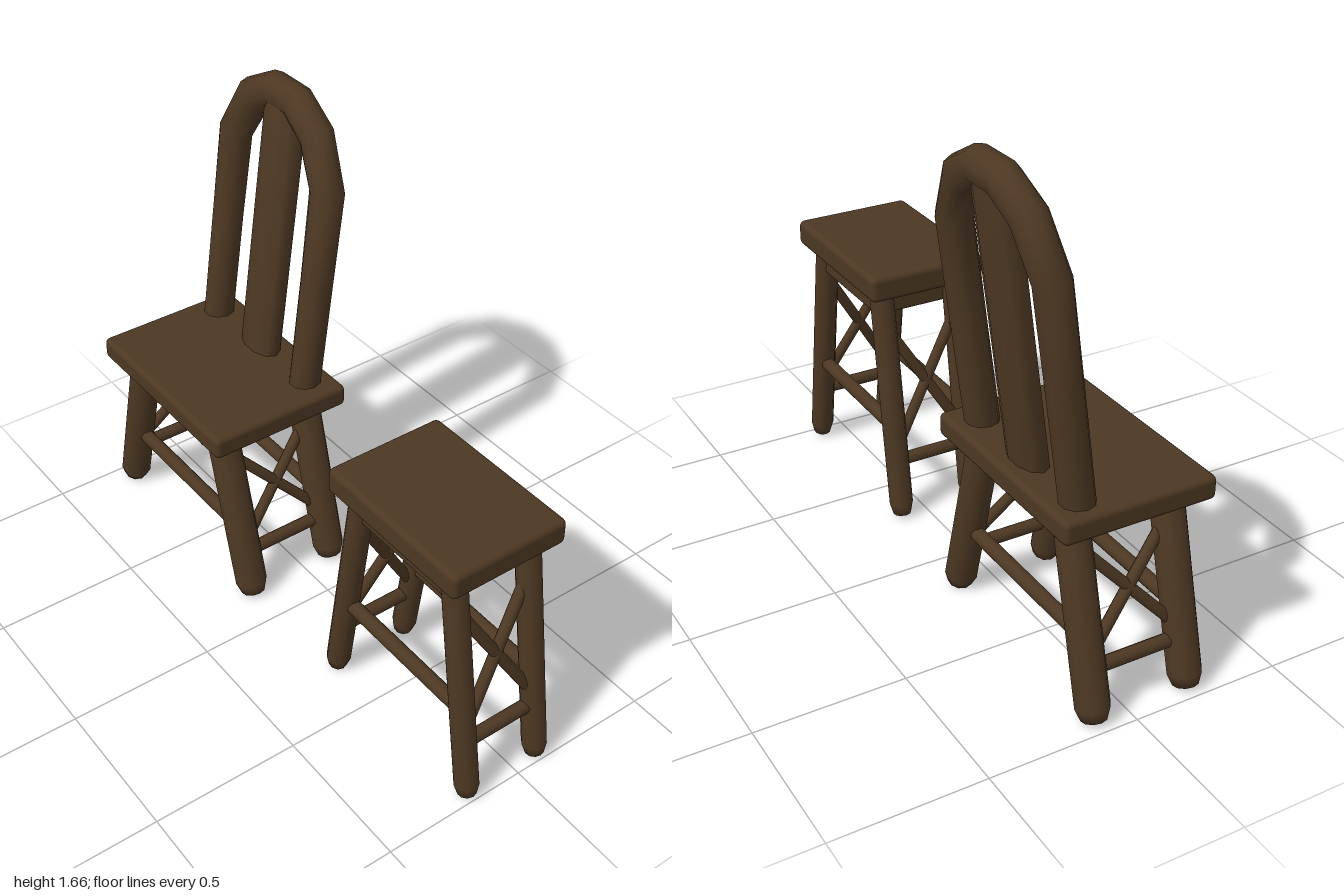
import * as THREE from 'three';
import { RoundedBoxGeometry } from 'three/addons/geometries/RoundedBoxGeometry.js';

const wood = new THREE.MeshStandardMaterial({ color: 0x4d3823 });
wood.name = 'darkWood';
const V = (x, y, z) => new THREE.Vector3(x, y, z);

function add(parent, name, geometry) {
  const mesh = new THREE.Mesh(geometry, wood);
  mesh.name = name;
  parent.add(mesh);
  return mesh;
}

// Round bar from a to b, with a chamfered lower end when tip > 0
function bar(parent, name, a, b, r, tip = 0) {
  const length = a.distanceTo(b);
  const profile = tip
    ? [[0, 0], [r * 0.75, 0], [r, tip], [r, length], [0, length]]
    : [[0, 0], [r, 0], [r, length], [0, length]];
  const mesh = add(parent, name, new THREE.LatheGeometry(profile.map(p => new THREE.Vector2(...p)), 10));
  mesh.position.copy(a);
  mesh.quaternion.setFromUnitVectors(V(0, 1, 0), b.clone().sub(a).normalize());
  return mesh;
}

function slab(parent, name, w, y0, y1, d, r) {
  add(parent, name, new RoundedBoxGeometry(w, y1 - y0, d, 2, r)).position.y = (y0 + y1) / 2;
}

// Seat on four splayed legs with stretchers and crossed end braces
function seatBase(name, o) {
  const g = new THREE.Group();
  g.name = name;
  slab(g, 'seat', o.seatW, o.seatY, o.seatTop, o.seatD, 0.02);
  slab(g, 'apron', o.legX * 2 + 0.04, o.apronY, o.seatY + 0.02, o.apronD, 0.015);
  const footY = 0.012, topY = o.seatY + 0.02;
  const legZ = y => THREE.MathUtils.mapLinear(y, footY, topY, o.footZ, o.topZ);
  for (const sx of [-1, 1]) {
    const x = sx * o.legX;
    for (const sz of [-1, 1]) {
      bar(g, 'leg', V(x, footY, sz * o.footZ), V(x, topY, sz * o.topZ), o.legR, 0.04);
      // one diagonal of the crossed brace
      bar(g, 'crossBrace', V(x, o.braceY[0], sz * legZ(o.braceY[0])),
        V(-x, o.braceY[1], sz * legZ(o.braceY[1])), 0.019);
    }
    const z = legZ(o.sideY);
    bar(g, 'sideStretcher', V(x, o.sideY, -z), V(x, o.sideY, z), 0.025);
    const ze = sx * legZ(o.endY);
    bar(g, 'endStretcher', V(-o.legX, o.endY, ze), V(o.legX, o.endY, ze), 0.023);
  }
  return g;
}

// Tube swept along a path of [across, up, half width] in the tilted back plane
function hoopGeometry(path, depth, toWorld) {
  const sides = 10, pos = [], index = [];
  path.forEach(([u, v, r], i) => {
    const p = path[Math.max(i - 1, 0)], q = path[Math.min(i + 1, path.length - 1)];
    const t = new THREE.Vector2(q[0] - p[0], q[1] - p[1]).normalize();
    for (let k = 0; k < sides; k++) {
      const a = k / sides * Math.PI * 2, c = Math.cos(a) * r;
      pos.push(...toWorld(u - t.y * c, v + t.x * c, Math.sin(a) * depth).toArray());
      if (i === 0) continue;
      const n = (k + 1) % sides, A = (i - 1) * sides, B = i * sides;
      index.push(A + k, B + k, A + n, A + n, B + k, B + n);
    }
  });
  const geo = new THREE.BufferGeometry();
  geo.setAttribute('position', new THREE.Float32BufferAttribute(pos, 3));
  geo.setIndex(index);
  geo.computeVertexNormals();
  return geo;
}

export function createModel() {
  const model = new THREE.Group();
  model.name = 'chairAndStool';

  const stool = seatBase('stool', {
    seatW: 0.42, seatD: 0.59, seatY: 0.82, seatTop: 0.91, apronY: 0.73, apronD: 0.42,
    legX: 0.137, legR: 0.041, footZ: 0.332, topZ: 0.208,
    sideY: 0.335, endY: 0.21, braceY: [0.25, 0.7],
  });
  stool.position.set(-0.043, 0, 0.635);

  const chair = seatBase('chair', {
    seatW: 0.52, seatD: 0.725, seatY: 0.61, seatTop: 0.69, apronY: 0.54, apronD: 0.54,
    legX: 0.164, legR: 0.055, footZ: 0.398, topZ: 0.238,
    sideY: 0.257, endY: 0.163, braceY: [0.19, 0.54],
  });
  chair.position.set(-0.05, 0, -0.545);

  // Leaning arched back
  const back = new THREE.Group();
  back.name = 'chairBack';
  back.position.set(0.106, 0.62, -0.555);
  back.rotation.z = -Math.atan(0.14);
  const half = [[0.265, 0, 0.054], [0.263, 0.45, 0.056], [0.259, 0.77, 0.063], [0.174, 0.925, 0.066], [0.06, 0.99, 0.062]];
  const path = [...half, ...half.map(([u, v, r]) => [-u, v, r]).reverse()];
  // path runs from +z over the top to -z
  add(back, 'backHoop', hoopGeometry(path, 0.055, (u, v, n) => V(n, v, u)));
  const slat = bar(back, 'backSlat', V(0, 0, 0), V(0, 0.96, 0), 0.0925);
  slat.scale.x = 0.55;
  chair.updateMatrix();
  model.add(stool, chair, back);
  return model;
}
